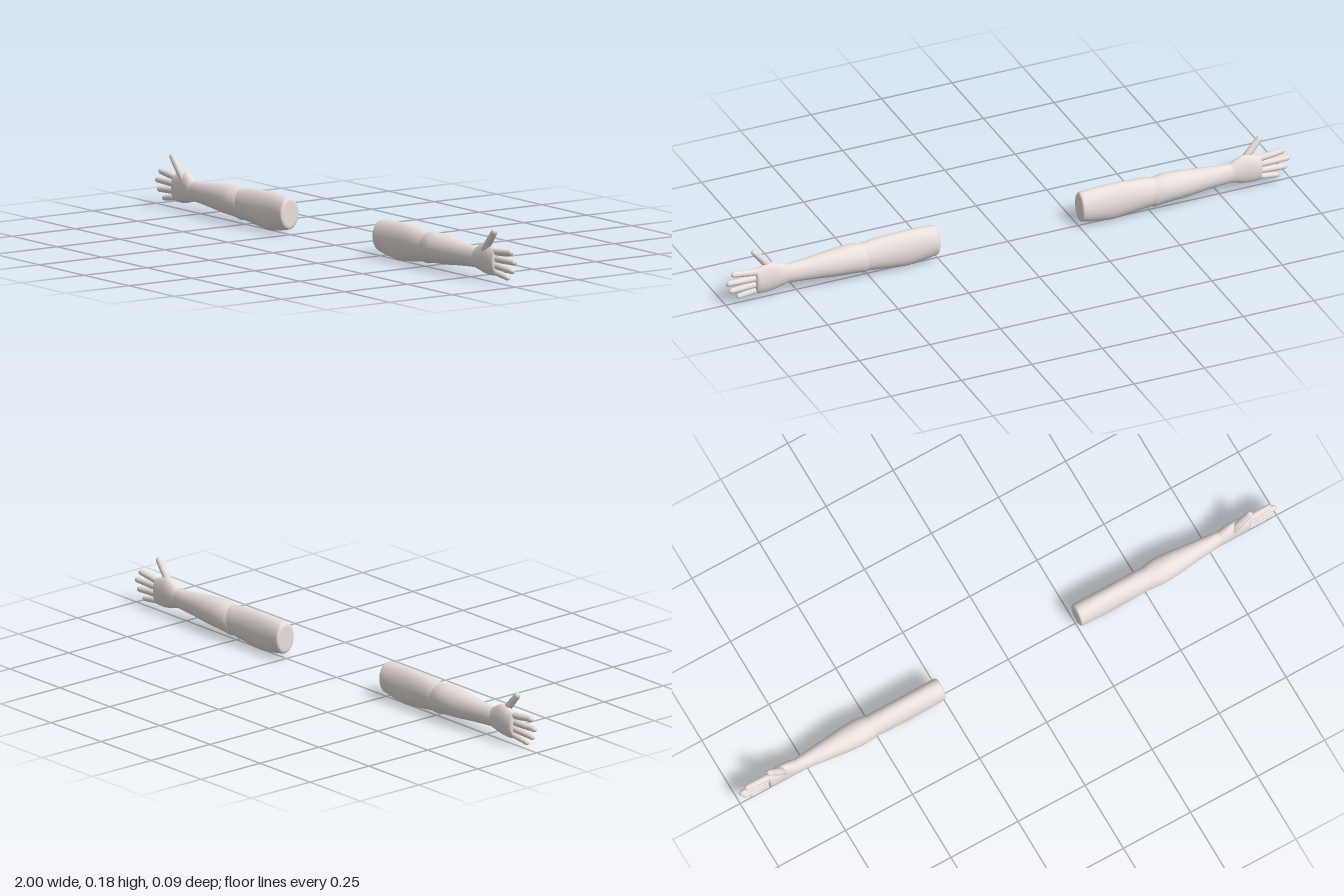
import * as THREE from 'three';

const skin = new THREE.MeshStandardMaterial({ color: 0xe8dfdb });

// Stations along x: [x, top y, bottom y, front z, back z]
const upperArm = [
  [0.252, 0.113, 0.031, 0.028, -0.028], [0.255, 0.122, 0.022, 0.035, -0.035],
  [0.266, 0.126, 0.018, 0.037, -0.037], [0.31, 0.129, 0.010, 0.037, -0.037],
  [0.36, 0.130, 0.004, 0.037, -0.037], [0.41, 0.129, 0.008, 0.037, -0.037],
  [0.46, 0.126, 0.014, 0.037, -0.037], [0.505, 0.121, 0.020, 0.036, -0.037],
  [0.53, 0.117, 0.026, 0.032, -0.032], [0.54, 0.105, 0.04, 0.02, -0.02],
];
const forearm = [
  [0.495, 0.10, 0.04, 0.02, -0.02], [0.503, 0.113, 0.022, 0.033, -0.034],
  [0.515, 0.118, 0.016, 0.037, -0.039], [0.535, 0.122, 0.020, 0.040, -0.042],
  [0.565, 0.124, 0.023, 0.043, -0.044], [0.62, 0.121, 0.026, 0.039, -0.041],
  [0.68, 0.115, 0.032, 0.032, -0.034], [0.74, 0.109, 0.037, 0.025, -0.028],
  [0.79, 0.106, 0.040, 0.020, -0.023], [0.81, 0.10, 0.045, 0.015, -0.017],
];
const palm = [
  [0.765, 0.100, 0.048, 0.014, -0.016], [0.785, 0.106, 0.039, 0.020, -0.022],
  [0.805, 0.117, 0.034, 0.021, -0.024], [0.83, 0.128, 0.028, 0.020, -0.025],
  [0.855, 0.127, 0.025, 0.019, -0.025], [0.88, 0.119, 0.025, 0.018, -0.024],
  [0.893, 0.115, 0.028, 0.016, -0.021], [0.897, 0.109, 0.034, 0.010, -0.014],
];

// Smooth skin over oval cross-sections, capped at both ends
function loft(stations, side, steps = 4, sides = 32) {
  const last = stations.length - 1;
  const pos = [], index = [];
  const spline = (i, t, k) => {
    const at = n => stations[Math.min(last, Math.max(0, n))][k];
    const a = at(i - 1), b = at(i), c = at(i + 1), d = at(i + 2);
    return b + 0.5 * t * (c - a + t * (2 * a - 5 * b + 4 * c - d + t * (3 * (b - c) + d - a)));
  };
  const rows = last * steps + 1;
  for (let r = 0; r < rows; r++) {
    const i = Math.min(last - 1, Math.floor(r / steps)), t = r / steps - i;
    const [x, top, bottom, front, back] = [0, 1, 2, 3, 4].map(k => spline(i, t, k));
    for (let s = 0; s < sides; s++) {
      const a = s / sides * Math.PI * 2;
      pos.push(side * x, (top + bottom) / 2 + Math.cos(a) * (top - bottom) / 2,
        (front + back) / 2 + Math.sin(a) * (front - back) / 2);
    }
  }
  // Corner order flips on the mirrored side so faces always point outward
  const face = (a, b, c) => index.push(...(side > 0 ? [a, c, b] : [a, b, c]));
  for (let r = 0; r < rows - 1; r++) for (let s = 0; s < sides; s++) {
    const n = (s + 1) % sides, a = r * sides + s, b = r * sides + n;
    face(a, a + sides, b);
    face(b, a + sides, b + sides);
  }
  // Separate cap rims keep the end faces flat
  for (const [r, flip] of [[0, false], [rows - 1, true]]) {
    const start = pos.length / 3;
    pos.push(...pos.slice(r * sides * 3, (r + 1) * sides * 3));
    for (let s = 1; s < sides - 1; s++) {
      if (flip) face(start, start + s + 1, start + s);
      else face(start, start + s, start + s + 1);
    }
  }
  const geo = new THREE.BufferGeometry();
  geo.setAttribute('position', new THREE.Float32BufferAttribute(pos, 3));
  geo.setIndex(index);
  geo.computeVertexNormals();
  return geo;
}

// Round-tipped digit from root to tip, slimmer towards the tip
function digit(root, tip, radius, side) {
  const a = new THREE.Vector3(root[0] * side, root[1], root[2]);
  const b = new THREE.Vector3(tip[0] * side, tip[1], tip[2]);
  const length = a.distanceTo(b);
  const profile = [[0, 0], [radius, 0], [radius, length * 0.4], [radius * 0.85, length - radius]]
    .map(p => new THREE.Vector2(...p));
  for (let i = 1; i <= 6; i++) {
    const t = i / 6 * Math.PI / 2;
    profile.push(new THREE.Vector2(radius * 0.85 * Math.cos(t), length - radius + radius * Math.sin(t)));
  }
  const mesh = new THREE.Mesh(new THREE.LatheGeometry(profile, 16), skin);
  mesh.position.copy(a);
  mesh.quaternion.setFromUnitVectors(new THREE.Vector3(0, 1, 0), b.sub(a).normalize());
  return mesh;
}

const digits = {
  thumb: [[0.835, 0.102, 0.005], [0.902, 0.18, 0.008], 0.0125],
  indexFinger: [[0.87, 0.102, -0.002], [0.982, 0.114, -0.002], 0.0115],
  middleFinger: [[0.87, 0.082, -0.002], [1.0, 0.083, -0.002], 0.0115],
  ringFinger: [[0.87, 0.061, -0.002], [0.99, 0.053, -0.002], 0.0115],
  littleFinger: [[0.87, 0.041, -0.002], [0.963, 0.027, -0.002], 0.0105],
};

export function createModel() {
  const model = new THREE.Group();
  for (const [name, side] of [['leftArm', 1], ['rightArm', -1]]) {
    const arm = new THREE.Group();
    arm.name = name;
    for (const [part, stations] of Object.entries({ upperArm, forearm, palm })) {
      const mesh = new THREE.Mesh(loft(stations, side), skin);
      mesh.name = part;
      arm.add(mesh);
    }
    for (const [part, [root, tip, radius]] of Object.entries(digits)) {
      const mesh = digit(root, tip, radius, side);
      mesh.name = part;
      arm.add(mesh);
    }
    model.add(arm);
  }
  return model;
}
